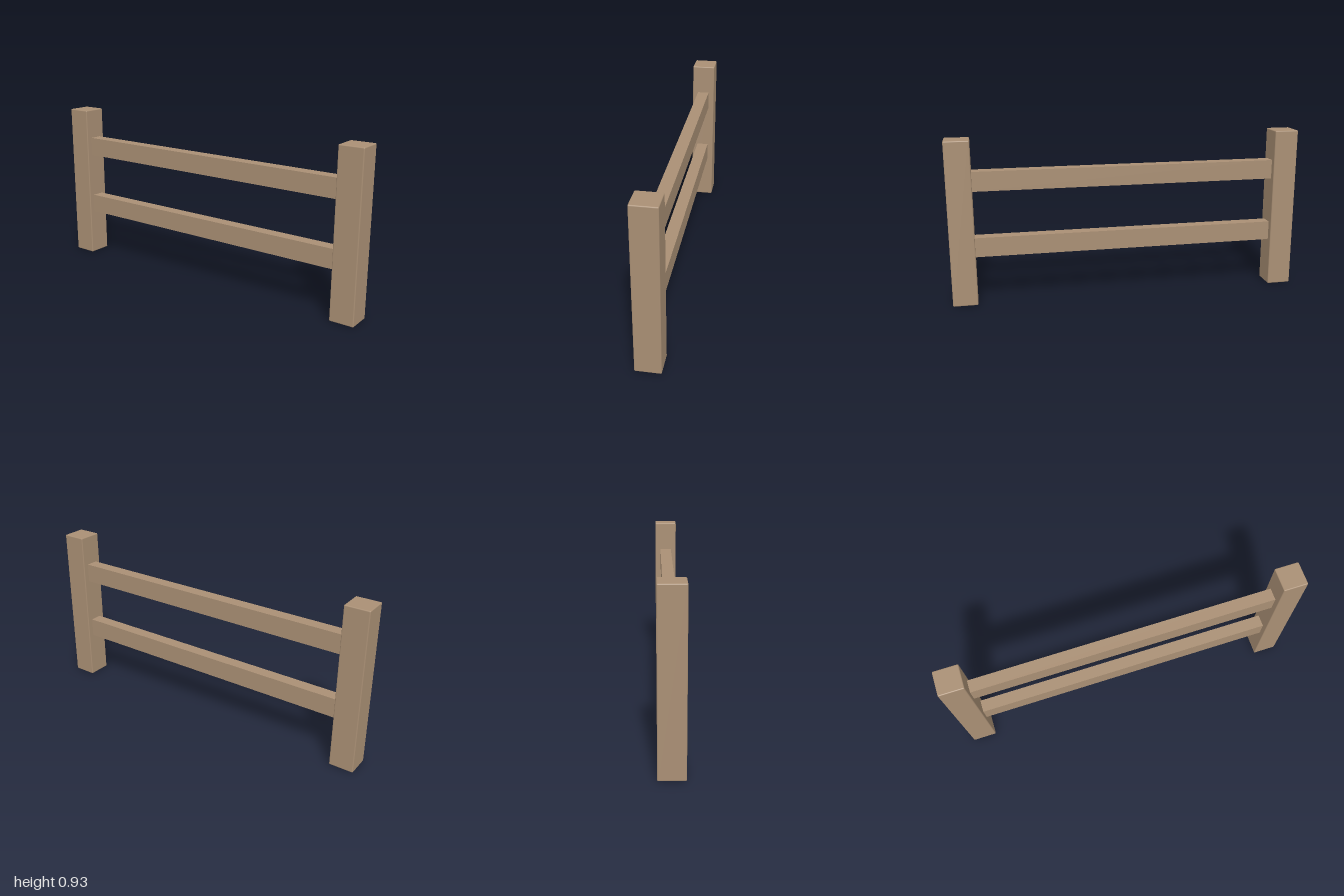
import * as THREE from 'three';
import { RoundedBoxGeometry } from 'three/addons/geometries/RoundedBoxGeometry.js';

const POST = { width: 0.138, height: 0.93 };
const RAIL = { height: 0.11, depth: 0.07, levels: { lowerRail: 0.327, upperRail: 0.7 } };

export function createModel() {
  const fence = new THREE.Group();
  fence.name = 'fence';
  const wood = new THREE.MeshStandardMaterial({ color: 0xa98f74 });

  const add = (name, geometry, x, y) => {
    const mesh = new THREE.Mesh(geometry, wood);
    mesh.name = name;
    mesh.position.set(x, y, 0);
    fence.add(mesh);
  };

  // Square end posts with slightly eased edges
  const postGeometry = new RoundedBoxGeometry(POST.width, POST.height, POST.width, 2, 0.006);
  const postX = 1 - POST.width / 2;
  add('leftPost', postGeometry, postX, POST.height / 2);
  add('rightPost', postGeometry, -postX, POST.height / 2);

  // Two horizontal rails spanning between the posts' inner faces
  const railGeometry = new THREE.BoxGeometry(2 - 2 * POST.width, RAIL.height, RAIL.depth);
  for (const [name, y] of Object.entries(RAIL.levels)) add(name, railGeometry, 0, y);

  return fence;
}
